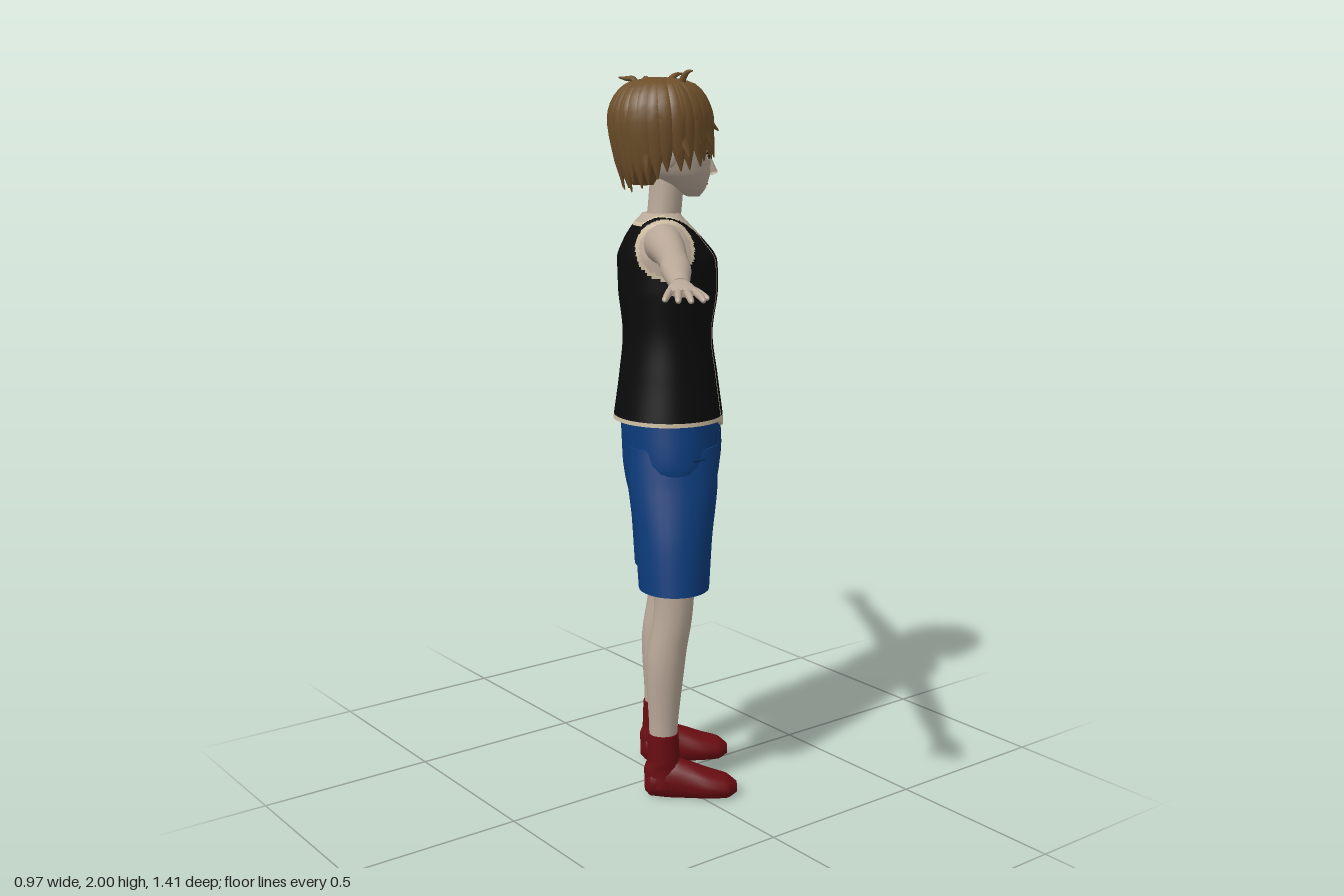
import * as THREE from 'three';

const mat = (name, color) => {
  const m = new THREE.MeshStandardMaterial({ color });
  m.name = name;
  return m;
};
const skin = mat('skin', 0xb9a898), hair = mat('hair', 0x6e4f2a), black = mat('vest black', 0x0b0b0b);
const trim = mat('cream trim', 0xcabb9f), blue = mat('shorts blue', 0x0c3c7c), navy = mat('seam navy', 0x072650);
const red = mat('shoe red', 0x6a0d12), white = mat('eye white', 0xd8d4cc), dark = mat('lash dark', 0x1c1410);
const lip = mat('lip', 0x8a6258);

const X = new THREE.Vector3(1, 0, 0), Y = new THREE.Vector3(0, 1, 0), Z = new THREE.Vector3(0, 0, 1);

// Smooth tube through rows [x, y, z, radius along ref, radius across].
// axis fixes the ring direction; rule(point, column) picks a material index.
function tube(name, material, rows, ref, { segs = 20, steps = 24, axis = null, rule = null } = {}) {
  const path = new THREE.CatmullRomCurve3(rows.map(r => new THREE.Vector3(r[0], r[1], r[2])));
  const size = new THREE.CatmullRomCurve3(rows.map(r => new THREE.Vector3(r[3], r[4], 0)));
  const pos = [], buckets = [];
  const ring = i => {
    const c = path.getPoint(i / steps), s = size.getPoint(i / steps);
    const t = axis || path.getTangent(i / steps);
    const n = ref.clone().addScaledVector(t, -ref.dot(t)).normalize();
    const b = t.clone().cross(n);
    for (let j = 0; j < segs; j++) {
      const a = j / segs * Math.PI * 2;
      const p = c.clone().addScaledVector(n, Math.cos(a) * s.x).addScaledVector(b, Math.sin(a) * s.y);
      pos.push(p.x, p.y, p.z);
    }
    return c;
  };
  const add = (j, ...idx) => {
    const p = new THREE.Vector3();
    idx.forEach(k => p.add(new THREE.Vector3().fromArray(pos, k * 3)));
    const m = rule ? rule(p.divideScalar(idx.length), j) : 0;
    const out = (buckets[m] ||= []);
    out.push(idx[0], idx[1], idx[2]);
    if (idx.length === 4) out.push(idx[0], idx[2], idx[3]);
  };
  for (let i = 0; i <= steps; i++) ring(i);
  for (let i = 0; i < steps; i++) for (let j = 0; j < segs; j++) {
    const k = (j + 1) % segs, a = i * segs, b = a + segs;
    add(j, a + j, a + k, b + k, b + j);
  }
  for (const end of [0, steps]) {
    const base = pos.length / 3, c = ring(end);
    pos.push(c.x, c.y, c.z);
    for (let j = 0; j < segs; j++) {
      const k = (j + 1) % segs;
      if (end) add(j, base + j, base + k, base + segs);
      else add(j, base + k, base + j, base + segs);
    }
  }
  const g = new THREE.BufferGeometry(), index = [];
  buckets.forEach((list, m) => {
    if (rule) g.addGroup(index.length, list.length, m);
    for (const v of list) index.push(v);
  });
  g.setAttribute('position', new THREE.Float32BufferAttribute(pos, 3));
  g.setIndex(index);
  g.computeVertexNormals();
  const mesh = new THREE.Mesh(g, material);
  mesh.name = name;
  return mesh;
}

// Thin seam line through a few points
function seam(name, material, pts, r = 0.0025) {
  const c = new THREE.CatmullRomCurve3(pts.map(p => new THREE.Vector3(...p)));
  const m = new THREE.Mesh(new THREE.TubeGeometry(c, 16, r, 5), material);
  m.name = name;
  return m;
}

// Sleeveless vest with skin showing at neck and armholes
function vestRule(p, j) {
  const u = Math.abs(p.x), arm = Math.hypot(p.y - 1.535, p.z - 0.005);
  if (u > 0.09 && arm < 0.068) return 1;
  if (u > 0.09 && arm < 0.078) return 2;
  const edge = p.z > 0.01 ? u - 0.085 * (p.y - 1.535) / 0.085 : Math.max(u - 0.078, 1.603 - p.y);
  if (edge < 0) return 1;
  if (edge < 0.009 || p.y < 1.077) return 2;
  return j === 116 || j === 99 ? 2 : 0;
}

function torso() {
  const m = tube('vest', [black, skin, trim], [
    [0, 1.065, 0.022, 0.174, 0.152], [0, 1.18, 0.022, 0.162, 0.136], [0, 1.3, 0.02, 0.154, 0.123],
    [0, 1.42, 0.021, 0.163, 0.136], [0, 1.5, 0.018, 0.166, 0.136], [0, 1.56, 0.008, 0.155, 0.105],
    [0, 1.6, 0.002, 0.126, 0.073], [0, 1.625, 0.002, 0.07, 0.05]],
  X, { segs: 144, steps: 72, axis: Y, rule: vestRule });
  // pointed front hem
  const p = m.geometry.attributes.position;
  for (let i = 0; i < p.count; i++) if (p.getY(i) < 1.067 && p.getZ(i) > 0.1)
    p.setY(i, p.getY(i) - 0.02 * Math.max(0, 1 - Math.abs(Math.abs(p.getX(i)) - 0.04) / 0.04));
  return m;
}

function addArm(g, s) {
  const arm = rows => rows.map(([x, ...r]) => [x * s, ...r]);
  g.add(tube('arm', skin, arm([[0.1, 1.545, 0, 0.055, 0.058], [0.17, 1.55, 0.002, 0.05, 0.05],
    [0.26, 1.54, 0.008, 0.043, 0.041], [0.4, 1.528, 0.01, 0.036, 0.034], [0.5, 1.52, 0.008, 0.037, 0.031],
    [0.6, 1.508, 0.006, 0.029, 0.025], [0.675, 1.5, 0.006, 0.022, 0.018]]), Z));
  g.add(tube('palm', skin, arm([[0.66, 1.5, 0.006, 0.021, 0.017], [0.7, 1.497, 0.006, 0.031, 0.016],
    [0.735, 1.494, 0.006, 0.036, 0.013], [0.757, 1.491, 0.005, 0.03, 0.009]]), Z));
  for (let i = 0; i < 4; i++) {
    const f = (i - 1.5) * 0.018 + 0.005, spread = (i - 1.5) * 0.01, end = [0.805, 0.827, 0.835, 0.822][i];
    g.add(tube('finger', skin, arm([[0.735, 1.494, f, 0.009, 0.009], [(0.735 + end) / 2, 1.49, f + spread / 2, 0.0085, 0.0085],
      [end - 0.008, 1.482, f + spread, 0.007, 0.007], [end, 1.48, f + spread, 0.002, 0.002]]), Z, { segs: 10, steps: 12 }));
  }
  g.add(tube('thumb', skin, arm([[0.685, 1.494, 0.025, 0.012, 0.011], [0.715, 1.486, 0.046, 0.01, 0.01],
    [0.745, 1.479, 0.061, 0.007, 0.007], [0.752, 1.478, 0.065, 0.002, 0.002]]), Z, { segs: 10, steps: 12 }));
}

function addLeg(g, s) {
  const leg = rows => rows.map(([x, ...r]) => [x * s, ...r]);
  g.add(tube('leg', skin, leg([[0.126, 0.13, 0, 0.036, 0.037], [0.126, 0.22, 0.001, 0.038, 0.041],
    [0.126, 0.4, 0.008, 0.052, 0.054], [0.127, 0.54, 0.028, 0.053, 0.054], [0.12, 0.75, 0.03, 0.062, 0.066]]), X, { axis: Y }));
  g.add(tube('shorts leg', blue, leg([[0.122, 0.61, 0.03, 0.113, 0.097], [0.11, 0.75, 0.03, 0.105, 0.106],
    [0.092, 0.9, 0.03, 0.091, 0.122], [0.08, 1.0, 0.028, 0.085, 0.122]]), X, { segs: 32, axis: Y }));
  const hip = (u, y) => [u * s, y, 0.03 + 0.137 * Math.sqrt(1 - (u / 0.18) ** 2)];
  g.add(seam('pocket seam', navy, [hip(0.095, 1.04), hip(0.11, 1.0), hip(0.14, 0.975), hip(0.168, 0.97)]));
  // ankle boot with a flat sole
  g.add(tube('boot shaft', red, leg([[0.126, 0.03, -0.003, 0.042, 0.046], [0.126, 0.1, 0, 0.042, 0.046],
    [0.126, 0.185, 0, 0.043, 0.043]]), X, { axis: Y }));
  const shoe = tube('shoe', red, leg([[0.126, 0.035, -0.052, 0.016, 0.02], [0.126, 0.042, -0.035, 0.036, 0.045],
    [0.127, 0.05, 0.02, 0.042, 0.062], [0.13, 0.042, 0.07, 0.049, 0.056], [0.134, 0.032, 0.13, 0.056, 0.042],
    [0.137, 0.026, 0.18, 0.047, 0.032], [0.137, 0.022, 0.207, 0.018, 0.015]]), X, { axis: Z });
  const p = shoe.geometry.attributes.position;
  for (let i = 0; i < p.count; i++) p.setY(i, Math.max(0, p.getY(i)));
  shoe.geometry.computeVertexNormals();
  g.add(shoe);
}

function addHead(g) {
  g.add(tube('neck', skin, [[0, 1.56, 0, 0.058, 0.05], [0, 1.62, 0.01, 0.047, 0.046], [0, 1.74, 0.02, 0.044, 0.046]], X));
  g.add(tube('head', skin, [[0, 1.668, 0.09, 0.014, 0.016], [0, 1.688, 0.075, 0.044, 0.047], [0, 1.73, 0.05, 0.075, 0.085],
    [0, 1.78, 0.035, 0.09, 0.1], [0, 1.84, 0.02, 0.1, 0.11], [0, 1.9, 0.012, 0.09, 0.1], [0, 1.95, 0.01, 0.04, 0.05]],
  X, { segs: 32, steps: 32, axis: Y }));
  g.add(tube('nose', skin, [[0, 1.775, 0.13, 0.006, 0.006], [0, 1.745, 0.138, 0.009, 0.012],
    [0, 1.732, 0.142, 0.01, 0.013], [0, 1.725, 0.136, 0.004, 0.006]], X, { segs: 10, axis: Y }));
  g.add(seam('mouth', lip, [[-0.017, 1.703, 0.122], [0, 1.702, 0.127], [0.017, 1.703, 0.122]]));
  for (const s of [1, -1]) {
    // eye: stacked thin discs under a lash line
    const eye = new THREE.Group();
    eye.name = 'eye';
    eye.position.set(0.041 * s, 1.777, 0.127);
    eye.rotation.y = 0.5 * s;
    [[white, 0.017, 0.6], [hair, 0.0095, 1], [dark, 0.005, 1]].forEach(([m, r, h], i) => {
      const disc = new THREE.Mesh(new THREE.CircleGeometry(r, 20), m);
      disc.scale.y = h;
      disc.position.z = 0.001 * i;
      disc.name = ['eye white', 'iris', 'pupil'][i];
      eye.add(disc);
    });
    eye.add(seam('lash', dark, [[-0.018, 0.003, 0], [0, 0.011, 0.002], [0.019, 0.004, -0.001]]));
    eye.add(seam('brow', hair, [[-0.018, 0.027, -0.001], [0, 0.032, 0], [0.02, 0.027, -0.003]]));
    g.add(eye);
    const ear = new THREE.Mesh(new THREE.SphereGeometry(0.025, 12, 10), skin);
    ear.name = 'ear';
    ear.scale.set(0.4, 1.1, 0.7);
    ear.position.set(0.092 * s, 1.775, 0.02);
    g.add(ear);
  }
}

function addHair(g) {
  let seed = 7;
  const rnd = () => (seed = (seed * 16807) % 2147483647) / 2147483647 - 0.5;
  g.add(tube('hair cap', hair, [[0, 1.7, -0.045, 0.05, 0.03], [0, 1.75, -0.045, 0.092, 0.065], [0, 1.8, -0.028, 0.114, 0.088],
    [0, 1.84, -0.004, 0.124, 0.12], [0, 1.89, 0.002, 0.128, 0.132], [0, 1.94, 0, 0.105, 0.11],
    [0, 1.968, -0.004, 0.06, 0.065], [0, 1.98, -0.008, 0.012, 0.012]], X, { segs: 32, axis: Y }));
  // locks falling from the crown: short fringe in front, longer at the nape
  const lock = (a, drop, flare, w) => {
    const back = (1 - Math.cos(a)) / 2, yEnd = 1.795 - 0.1 * Math.sqrt(back) + drop;
    const rEnd = 0.14 - 0.045 * back + flare;
    const rows = [[0.03, 1.975, 0.4, 0.6], [0.095, 1.95, 0.9, 1], [0.13, 1.89, 1, 1],
      [0.135 - 0.018 * back, 0.55 * yEnd + 0.45 * 1.89, 0.9, 0.9], [rEnd, yEnd, 0.08, 0.15]];
    g.add(tube('hair lock', hair, rows.map(([r, y, k, h], i) => {
      const b = a + i * i * 0.008;
      return [Math.sin(b) * r, y, Math.cos(b) * r, w * k, 0.011 * h];
    }), new THREE.Vector3(Math.cos(a), 0, -Math.sin(a)), { segs: 8, steps: 14 }));
  };
  for (let i = 0; i < 28; i++) lock(i / 28 * Math.PI * 2 + rnd() * 0.1, rnd() * 0.035, rnd() * 0.015, 0.024);
  for (let i = 0; i < 17; i++) lock((i + 0.5) / 17 * Math.PI * 2 + rnd() * 0.2, 0.05 + rnd() * 0.04, 0.014 + rnd() * 0.015, 0.022);
  // loose tufts standing up from the crown
  for (const [x, z, dx, dz, h] of [[-0.05, 0.05, -0.03, 0.03, 2], [0.06, -0.03, 0.05, -0.01, 1.985],
    [-0.01, 0.02, 0.02, 0.04, 1.995], [0.02, -0.06, 0.0, -0.05, 1.985]])
    g.add(tube('hair tuft', hair, [[x, 1.94, z, 0.016, 0.012], [x + dx * 0.2, 1.975, z + dz * 0.2, 0.012, 0.009],
      [x + dx * 0.6, h - 0.007, z + dz * 0.6, 0.008, 0.006], [x + dx, h - 0.004, z + dz, 0.002, 0.002]], X, { segs: 8, steps: 12 }));
}

export function createModel() {
  const figure = new THREE.Group();
  figure.name = 'figure';
  figure.add(torso());
  figure.add(tube('shorts hips', blue, [[0, 0.8, 0.03, 0.04, 0.07], [0, 0.86, 0.03, 0.14, 0.12], [0, 0.95, 0.03, 0.18, 0.135],
    [0, 1.09, 0.025, 0.166, 0.136]], X, { segs: 40, axis: Y }));
  figure.add(seam('fly seam', navy, [[0, 1.05, 0.165], [0.004, 0.98, 0.168], [0, 0.91, 0.16]]));
  for (const s of [1, -1]) {
    addArm(figure, s);
    addLeg(figure, s);
  }
  addHead(figure);
  addHair(figure);
  // the figure stands turned towards its left
  figure.rotation.y = 0.985;
  const model = new THREE.Group();
  model.name = 'model';
  model.add(figure);
  return model;
}
